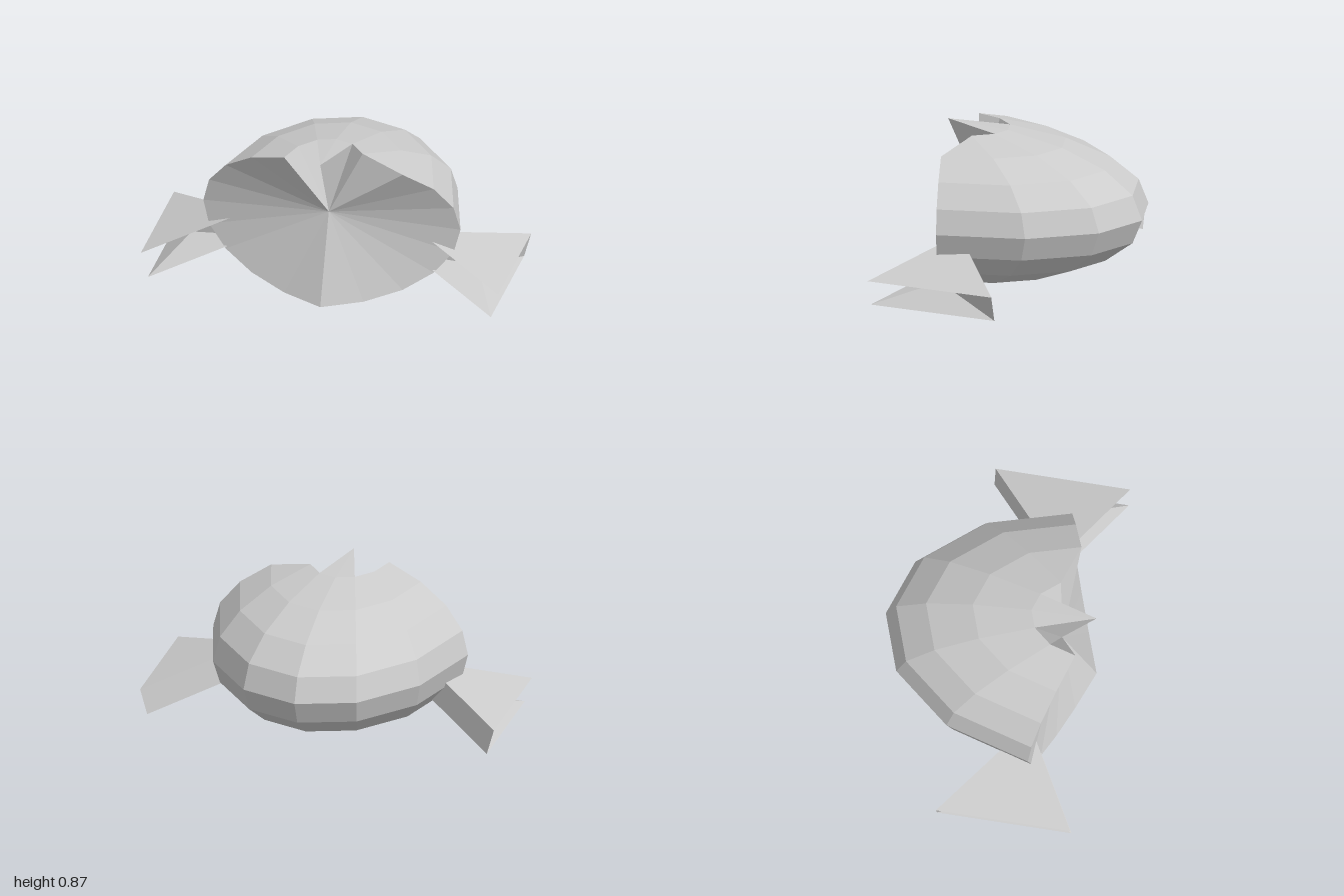
import * as THREE from 'three';

const material = new THREE.MeshStandardMaterial({
  color: 0xcccccc, flatShading: true, side: THREE.DoubleSide,
});

// Mesh from a list of corner points, three per triangle
function faceted(name, corners) {
  const geometry = new THREE.BufferGeometry().setFromPoints(corners);
  geometry.computeVertexNormals();
  const mesh = new THREE.Mesh(geometry, material);
  mesh.name = name;
  return mesh;
}

const v = (x, y, z) => new THREE.Vector3(x, y, z);

// Shell: half ellipsoid with its poles on the front edge
const ROWS = 10, HALF_H = 0.435, POLE_Z = 0.57;
const columns = [[0, -1.16], [0.32, -1.05], [0.585, -0.73], [0.72, -0.26]];

function shellPoint(row, col) {
  const angle = (row / ROWS) * Math.PI;
  const s = Math.sin(angle);
  const [x, z] = columns[Math.abs(col)];
  return v(Math.sign(col) * x * s, HALF_H * (1 + Math.cos(angle)), POLE_Z + z * s);
}

function createShell() {
  const tris = [];
  for (let r = 0; r < ROWS; r++) {
    for (let k = -3; k < 3; k++) {
      // only the two middle facets reach the top pole, forming a pointed crest
      if (r === 0 && k !== -1 && k !== 0) continue;
      const a = shellPoint(r, k), b = shellPoint(r, k + 1);
      const c = shellPoint(r + 1, k + 1), d = shellPoint(r + 1, k);
      const chipped = r === 1 && k === 2;
      if (r > 0 && !chipped) tris.push(a, b, c);
      if (r < ROWS - 1) tris.push(a, c, d);
    }
  }
  return faceted('shell', tris);
}

// Front: dented fan from a centre point to the rim of the shell
function createFront() {
  const rim = [];
  for (let r = ROWS; r >= 2; r--) rim.push(shellPoint(r, 3));
  rim.push(shellPoint(1, 2), shellPoint(1, 1), shellPoint(0, 0));
  rim.push(shellPoint(1, -1), shellPoint(1, -2));
  for (let r = 1; r <= ROWS; r++) rim.push(shellPoint(r, -3));
  const centre = v(0, 0.49, 0.38);
  const tris = [];
  for (let i = 0; i < rim.length - 1; i++) tris.push(centre, rim[i], rim[i + 1]);
  return faceted('dentedFront', tris);
}

// Fin: slanted triangular slab whose outer front end is notched into two prongs
function createFin(name, side) {
  const top = [v(1, 0.215, 0.59), v(1, 0.215, -0.15), v(0.48, 0.38, 0.28)];
  const [T, U, I] = top;
  const [t, u, i] = top.map((p) => p.clone().add(v(-0.04, -0.143, 0)));
  const notch = v(0.8, 0.2, 0.25);
  const fin = faceted(name, [
    T, U, I, t, i, u,                               // top and underside
    U, u, i, U, i, I,                               // back
    t, u, notch, u, U, notch, U, T, notch,          // outer side
    i, t, notch, T, I, notch, I, i, notch,          // front
  ]);
  fin.scale.x = side;
  return fin;
}

export function createModel() {
  const model = new THREE.Group();
  model.name = 'finnedShell';
  model.add(createShell(), createFront(), createFin('leftFin', 1), createFin('rightFin', -1));
  return model;
}
